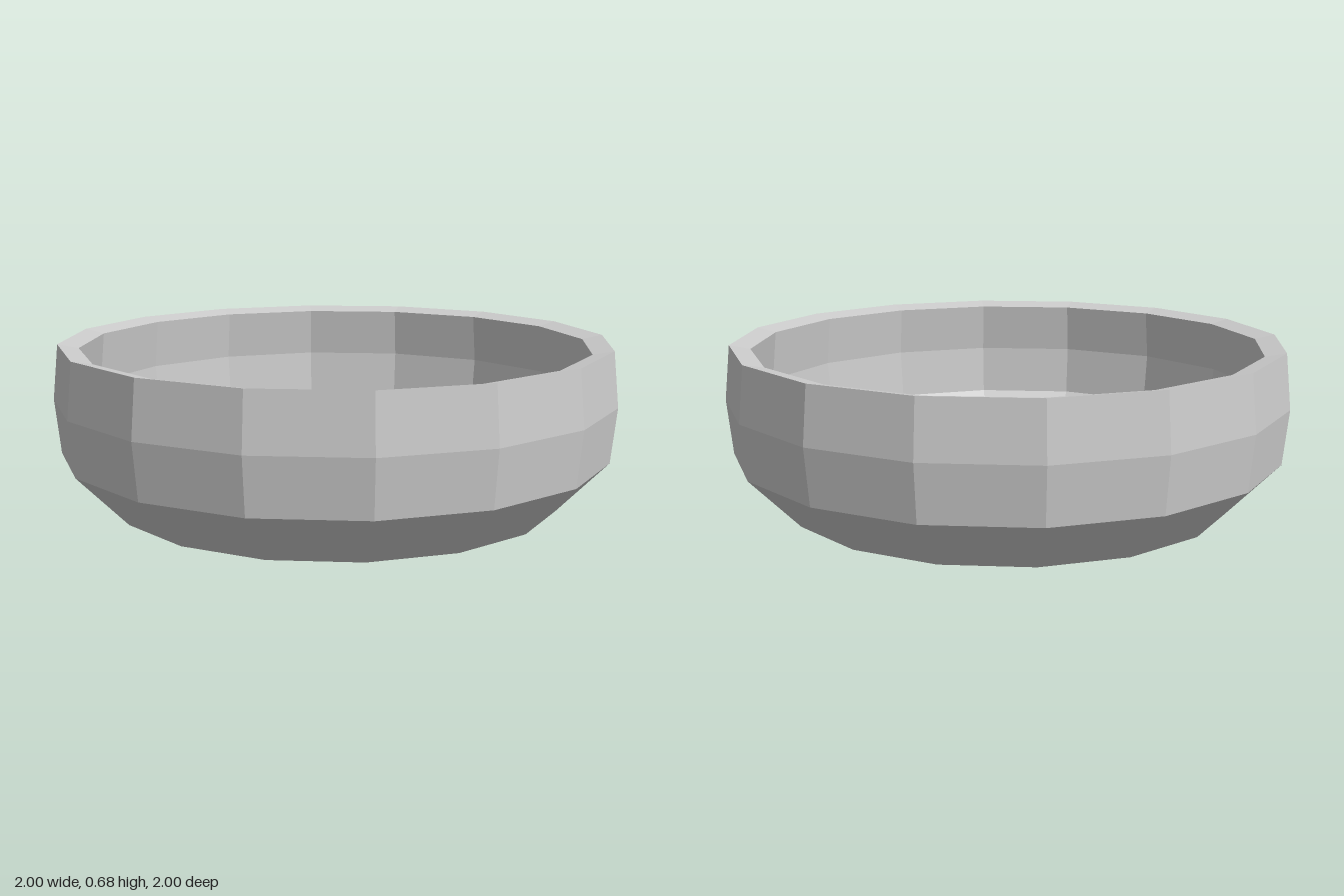
import * as THREE from 'three';

const SIDES = 16;
const WALL_SCALE = 0.925; // inner skin is the outer one shrunk about the belly height
const BELLY_Y = 0.48;

export function createModel() {
  const group = new THREE.Group();
  group.name = 'bowl';

  // Outer profile, from the centre of the base up to the rim
  const outer = [
    [0, 0], [0.32, 0.004], [0.46, 0.016], [0.8, 0.1],
    [0.98, 0.285], [1, BELLY_Y], [0.98, 0.675],
  ].map(([r, y]) => new THREE.Vector2(r, y));

  // Inner profile, from the rim back down to the centre of the floor
  const inner = outer
    .map((p) => new THREE.Vector2(p.x * WALL_SCALE, BELLY_Y + (p.y - BELLY_Y) * WALL_SCALE))
    .reverse();

  const material = new THREE.MeshStandardMaterial({ color: 0xcccccc, flatShading: true });
  const addSkin = (name, profile) => {
    const mesh = new THREE.Mesh(new THREE.LatheGeometry(profile, SIDES), material);
    mesh.name = name;
    group.add(mesh);
  };

  addSkin('outerShell', outer);
  addSkin('rim', [outer[outer.length - 1], inner[0]]);
  addSkin('innerShell', inner);
  return group;
}
